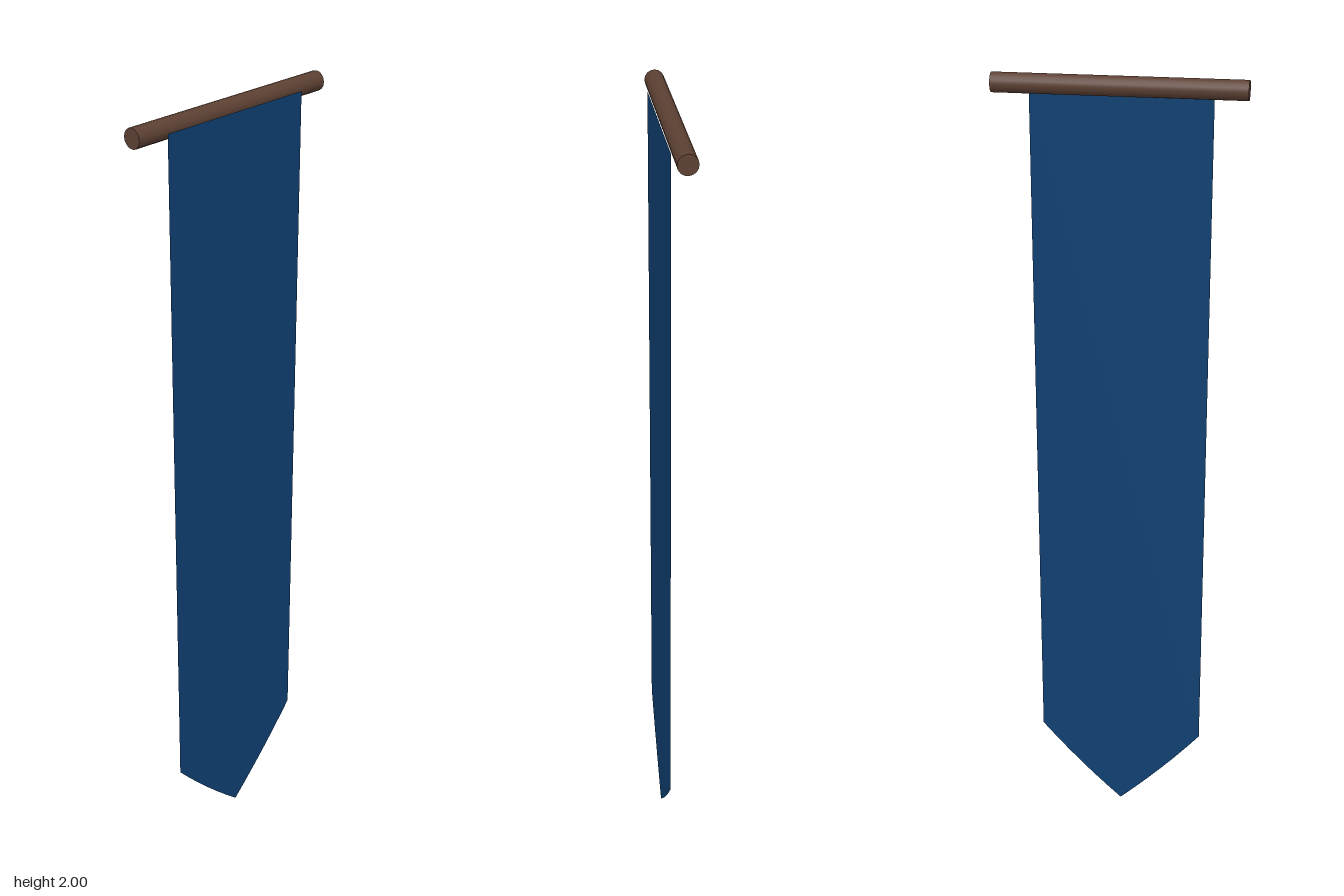
import * as THREE from 'three';

export function createModel() {
  const wood = new THREE.MeshStandardMaterial({ color: 0x5c4033 });
  wood.name = 'dark brown wood';
  const fabric = new THREE.MeshStandardMaterial({ color: 0x0f3f70, side: THREE.DoubleSide });
  fabric.name = 'navy blue fabric';

  const banner = new THREE.Group();
  banner.name = 'banner';

  // Horizontal hanging rod
  const radius = 0.0235, rodY = 2 - radius;
  const rod = new THREE.Mesh(new THREE.CylinderGeometry(radius, radius, 0.592, 16), wood);
  rod.name = 'rod';
  rod.rotation.z = Math.PI / 2;
  rod.position.set(0, rodY, -0.001);
  banner.add(rod);

  // Flat cloth hanging from the front of the rod, its point slightly bowed outwards
  const halfWidth = 0.215, shoulderY = 0.225;
  const outline = new THREE.Shape();
  outline.moveTo(-halfWidth, rodY - 0.003);
  outline.lineTo(-halfWidth, shoulderY);
  outline.quadraticCurveTo(-0.115, 0.105, 0, 0);
  outline.quadraticCurveTo(0.115, 0.105, halfWidth, shoulderY);
  outline.lineTo(halfWidth, rodY - 0.003);
  outline.closePath();
  const cloth = new THREE.Mesh(new THREE.ShapeGeometry(outline, 6), fabric);
  cloth.name = 'cloth';
  cloth.position.z = 0.0245;
  banner.add(cloth);

  return banner;
}
